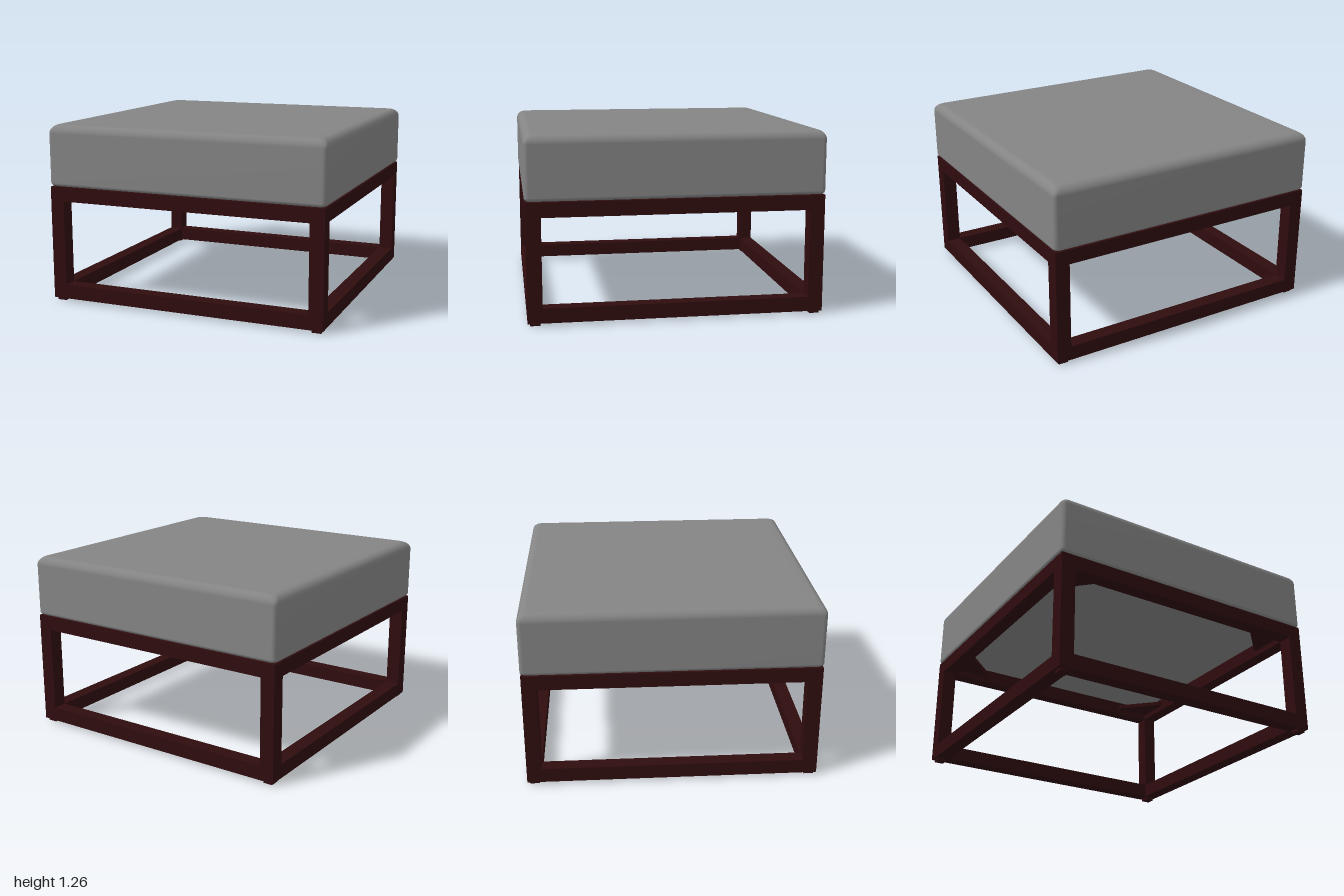
import * as THREE from 'three';

const frameMat = new THREE.MeshStandardMaterial({ color: 0x2f0c0e });
frameMat.name = 'dark mahogany wood';
const fabricMat = new THREE.MeshStandardMaterial({ color: 0x848484 });
fabricMat.name = 'grey fabric';

const BAR = 0.1;          // square section of the frame bars
const EDGE = 0.995 - BAR / 2; // centre line of the outer bars

function box(parent, name, w, h, d, x, y, z) {
  const mesh = new THREE.Mesh(new THREE.BoxGeometry(w, h, d), frameMat);
  mesh.name = name;
  mesh.position.set(x, y, z);
  parent.add(mesh);
  return mesh;
}

// One horizontal loop of a rounded square, as [x, z] points
function roundedLoop(half, radius, steps = 6) {
  const points = [];
  for (let c = 0; c < 4; c++) {
    const mid = (c + 0.5) * Math.PI / 2;
    const cx = Math.sign(Math.cos(mid)) * (half - radius);
    const cz = Math.sign(Math.sin(mid)) * (half - radius);
    for (let i = 0; i <= steps; i++) {
      const a = (c + i / steps) * Math.PI / 2;
      points.push([cx + Math.cos(a) * radius, cz + Math.sin(a) * radius]);
    }
  }
  return points;
}

// Cushion: rounded square loops stacked along a soft edge profile
function cushionGeometry() {
  const bottom = 0.823, top = 1.253, rb = 0.025, rt = 0.06;
  const profile = [[0.05, bottom]]; // [inset, y]
  for (let i = 0; i <= 5; i++) {
    const a = i / 5 * Math.PI / 2;
    profile.push([rb * (1 - Math.sin(a)), bottom + rb * (1 - Math.cos(a))]);
  }
  for (let i = 0; i <= 8; i++) {
    const a = i / 8 * Math.PI / 2;
    profile.push([rt * (1 - Math.cos(a)), top - rt * (1 - Math.sin(a))]);
  }
  profile.push([0.12, top + 0.001]);

  const pos = [], index = [];
  let n = 0;
  for (const [inset, y] of profile) {
    const loop = roundedLoop(1 - inset, 0.03 + inset * 0.3);
    n = loop.length;
    for (const [x, z] of loop) pos.push(x, y, z);
  }
  for (let r = 0; r < profile.length - 1; r++) {
    for (let i = 0; i < n; i++) {
      const a = r * n + i, b = r * n + (i + 1) % n;
      index.push(a, a + n, b, b, a + n, b + n);
    }
  }
  // Close the underside and the top
  const low = pos.length / 3, high = low + 1, last = (profile.length - 1) * n;
  pos.push(0, bottom, 0, 0, top + 0.003, 0);
  for (let i = 0; i < n; i++) {
    const j = (i + 1) % n;
    index.push(low, i, j, high, last + j, last + i);
  }
  const geo = new THREE.BufferGeometry();
  geo.setAttribute('position', new THREE.Float32BufferAttribute(pos, 3));
  geo.setIndex(index);
  geo.computeVertexNormals();
  return geo;
}

// Corner brace: a flat triangle with clipped tips, in the +x +z corner
function braceGeometry() {
  const s = 0.9, leg = 0.27, clip = 0.03;
  const shape = new THREE.Shape([
    [s, s], [s - leg, s], [s - leg, s - clip], [s - clip, s - leg], [s, s - leg],
  ].map(([x, y]) => new THREE.Vector2(x, y)));
  const geo = new THREE.ExtrudeGeometry(shape, { depth: 0.03, bevelEnabled: false });
  return geo.rotateX(Math.PI / 2); // shape y becomes z, depth runs down
}

export function createModel() {
  const model = new THREE.Group();
  model.name = 'ottoman';

  const frame = new THREE.Group();
  frame.name = 'frame';
  model.add(frame);

  // Upper and lower rails on all four sides
  const inner = 2 * (EDGE - BAR / 2);
  for (const [label, y] of [['lower', 0.07], ['upper', 0.77]]) {
    for (const s of [1, -1]) {
      box(frame, label + (s > 0 ? 'FrontRail' : 'BackRail'), inner, BAR, BAR, 0, y, s * EDGE);
      box(frame, label + (s > 0 ? 'LeftRail' : 'RightRail'), BAR, BAR, inner, s * EDGE, y, 0);
    }
  }

  // Legs and small foot pads
  for (const x of [1, -1]) {
    for (const z of [1, -1]) {
      const corner = (z > 0 ? 'front' : 'back') + (x > 0 ? 'Left' : 'Right');
      box(frame, corner + 'Leg', BAR, 0.8, BAR, x * EDGE, 0.42, z * EDGE);
      box(frame, corner + 'Foot', 0.065, 0.02, 0.065, x * EDGE, 0.01, z * EDGE);
    }
  }

  // Braces under the seat, one per corner
  const brace = braceGeometry();
  for (let i = 0; i < 4; i++) {
    const mesh = new THREE.Mesh(brace, frameMat);
    mesh.name = 'cornerBrace';
    mesh.position.y = 0.79;
    mesh.rotation.y = i * Math.PI / 2;
    frame.add(mesh);
  }

  const cushion = new THREE.Mesh(cushionGeometry(), fabricMat);
  cushion.name = 'cushion';
  model.add(cushion);
  return model;
}
